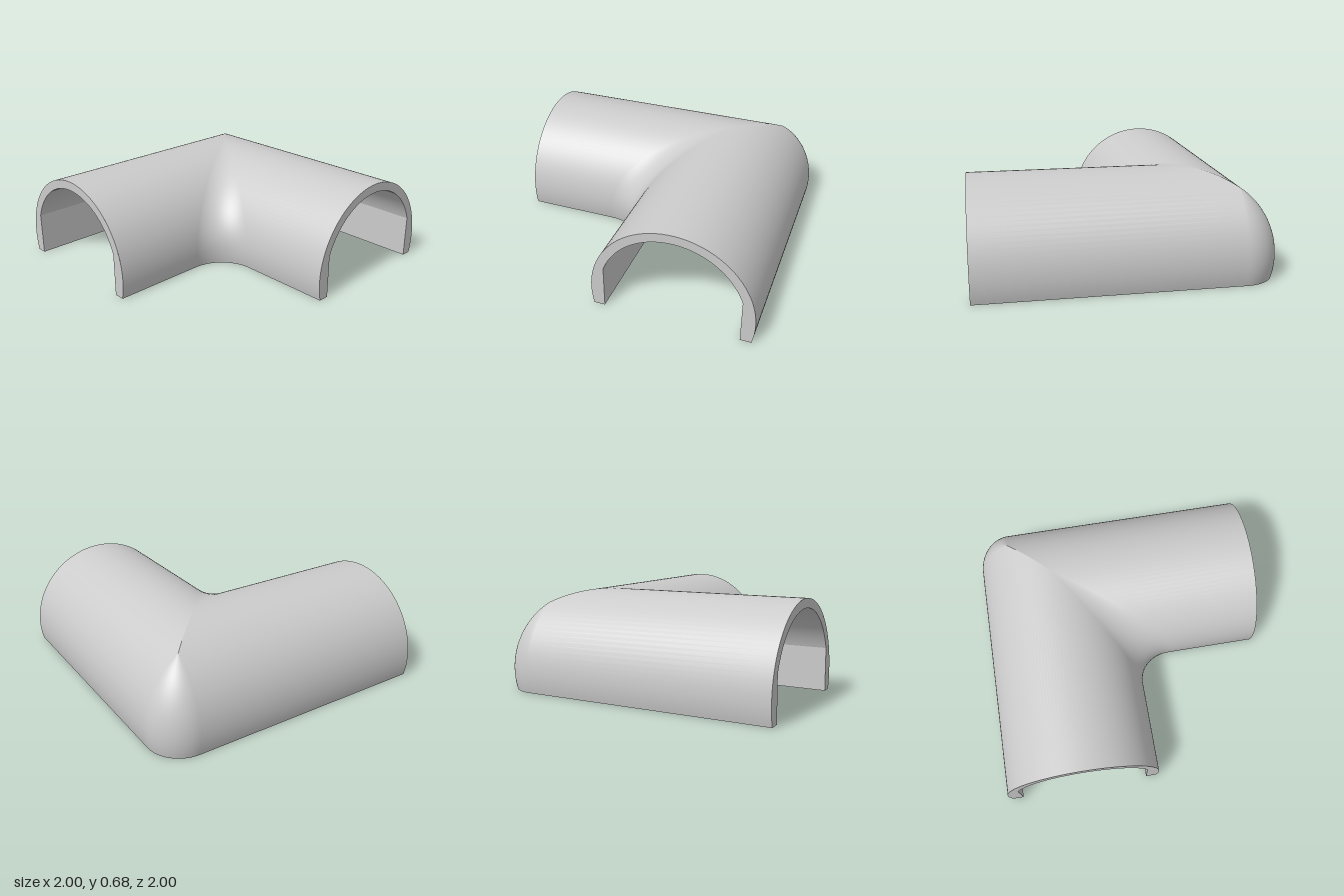
import * as THREE from 'three';

const AXIS = 0.45;          // distance of each leg's centre line from the origin
const CY = 0.135;           // height of the arch centre
const R_OUT = 0.545, R_IN = 0.483;
const BEND = 0.295;         // offset where the outer corner starts to be rounded
const BALL = R_OUT + 0.25;  // offset of the inner corner's fillet centre
const FLOOR = -Math.asin(CY / R_OUT);   // angle where the outer skin meets the ground
const SPRING = Math.acos(0.455 / R_IN); // angle where the cavity arch meets its walls
const N = 20;

// Angles over the arch, with a row exactly where the corner rounding begins
function archAngles(R, start) {
  const stops = [start, Math.max(start, 0), Math.acos(BEND / R), Math.PI / 2, Math.PI - Math.max(start, 0), Math.PI - start];
  const steps = [5, 16, 14, 28, 5];
  const out = [start];
  steps.forEach((n, i) => {
    if (stops[i + 1] - stops[i] < 1e-6) return;
    for (let k = 1; k <= n; k++) out.push(THREE.MathUtils.lerp(stops[i], stops[i + 1], k / n));
  });
  return out;
}

// One line of points along leg, corner and second leg for a point of the arch
function row(R, a) {
  const d = R * Math.cos(a), y = CY + R * Math.sin(a);
  const pts = [new THREE.Vector3(-1, y, -AXIS - d)];
  for (let k = 0; k <= N; k++) {
    const t = k / N, phi = t * Math.PI / 2;
    if (d >= 0) {
      const c = AXIS + Math.min(d, BEND), r = Math.max(d - BEND, 0);
      pts.push(new THREE.Vector3(c + r * Math.sin(phi), y, -c - r * Math.cos(phi)));
    } else if (y < CY) {
      const c = AXIS - BALL, r = BALL + d;
      pts.push(new THREE.Vector3(c + r * Math.sin(phi), y, -c - r * Math.cos(phi)));
    } else {
      // fillet that fades out towards the top of the arch
      const co = -Math.cos(a), s = Math.sin(a), c = AXIS - BALL * co;
      const u = new THREE.Vector3(co * Math.sin(phi), -s, -co * Math.cos(phi));
      const u1 = new THREE.Vector3(0, -s, -co), u2 = new THREE.Vector3(co, -s, 0);
      u.copy(u1).lerp(u2, t).normalize();
      pts.push(new THREE.Vector3(c, CY + BALL * s, -c).addScaledVector(u, BALL - R));
    }
  }
  pts.push(new THREE.Vector3(AXIS + d, y, 1));
  return pts;
}

// Skin over a list of equally long rows
function skin(rows) {
  const w = rows[0].length, index = [];
  for (let i = 0; i < rows.length - 1; i++) {
    for (let j = 0; j < w - 1; j++) {
      const a = i * w + j, b = a + 1, c = a + w, e = c + 1;
      index.push(a, c, b, b, c, e);
    }
  }
  const g = new THREE.BufferGeometry().setFromPoints(rows.flat());
  g.setIndex(index);
  g.computeVertexNormals();
  return g;
}

export function createModel() {
  const group = new THREE.Group();
  const material = new THREE.MeshStandardMaterial({ color: 0xcccccc, side: THREE.DoubleSide });
  const add = (name, geometry) => {
    const mesh = new THREE.Mesh(geometry, material);
    mesh.name = name;
    group.add(mesh);
    return mesh;
  };

  const outerAngles = archAngles(R_OUT, FLOOR), innerAngles = archAngles(R_IN, SPRING);
  const outer = outerAngles.map(a => row(R_OUT, a));
  const inner = innerAngles.map(a => row(R_IN, a));
  const ground = r => r.map(p => new THREE.Vector3(p.x, 0, p.z));

  // Curved shell and cavity
  add('outerShell', skin(outer));
  add('cavityArch', skin([...inner].reverse()));

  // Upright cavity walls and the rims they stand on
  const farTop = inner[0], nearTop = inner[inner.length - 1];
  const farFoot = ground(farTop), nearFoot = ground(nearTop);
  add('outerCornerWall', skin([farTop, farFoot]));
  add('innerCornerWall', skin([nearFoot, nearTop]));
  add('outerCornerRim', skin([farFoot, outer[0]]));
  add('innerCornerRim', skin([outer[outer.length - 1], nearFoot]));

  // Arch-shaped end faces
  const at = R => a => new THREE.Vector2(R * Math.cos(a), CY + R * Math.sin(a));
  const face = new THREE.Shape([
    ...outerAngles.map(at(R_OUT)),
    new THREE.Vector2(-0.455, 0),
    ...innerAngles.map(at(R_IN)).reverse(),
    new THREE.Vector2(0.455, 0),
  ]);
  const endGeometry = new THREE.ShapeGeometry(face);
  add('frontEnd', endGeometry).position.set(AXIS, 0, 1);
  const side = add('sideEnd', endGeometry);
  side.position.set(-1, 0, -AXIS);
  side.rotation.y = -Math.PI / 2;

  return group;
}
